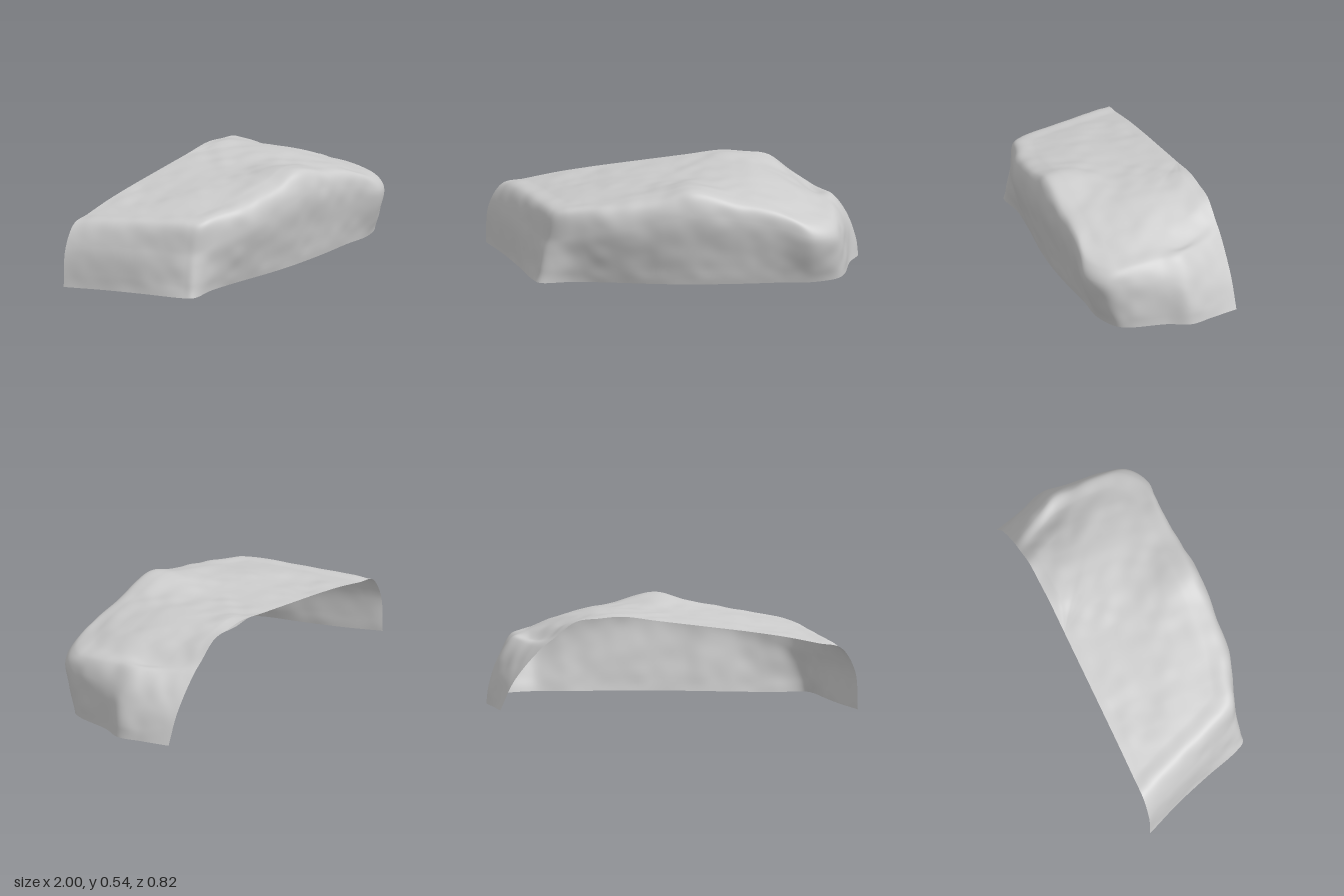
import * as THREE from 'three';

const BACK = -0.41;

// Stations round the boulder, from back -x over the front to back +x:
// base x, z | upper wall x, y, z | rim x, y, z
const STATIONS = [
  [-1, -.41, -.985, .21, -.41, -.91, .335, -.41],
  [-.91, -.2, -.89, .23, -.2, -.82, .36, -.2],
  [-.84, 0, -.805, .23, 0, -.75, .375, 0],
  [-.77, .22, -.72, .22, .2, -.675, .385, .19],
  [-.735, .27, -.685, .22, .25, -.64, .39, .245],
  [-.56, .26, -.55, .27, .305, -.52, .41, .285],
  [-.35, .28, -.35, .31, .37, -.33, .435, .34],
  [-.1, .315, -.1, .36, .392, -.1, .48, .36],
  [.1, .33, .1, .4, .398, .08, .53, .358],
  [.35, .33, .35, .37, .393, .33, .46, .365],
  [.55, .32, .57, .32, .392, .55, .415, .37],
  [.73, .32, .74, .27, .4, .715, .345, .375],
  [.87, .265, .86, .26, .325, .835, .33, .285],
  [.91, .2, .905, .25, .2, .865, .335, .17],
  [.95, 0, .92, .24, 0, .855, .345, 0],
  [1, -.12, .957, .2, -.12, .85, .355, -.12],
  [.97, -.25, .915, .18, -.25, .79, .34, -.25],
  [.93, -.41, .855, .16, -.41, .71, .335, -.41],
];

// Height of the top along x, on three lines from back to front
const TOP_LINES = [
  { z: BACK, line: [[-.91, .335], [-.65, .39], [-.38, .43], [0, .475], [.3, .512], [.53, .48], [.71, .335]] },
  { z: 0, line: [[-.76, .375], [-.38, .45], [0, .49], [.3, .505], [.5, .49], [.6, .465], [.75, .395], [.87, .34]] },
  { z: 0.3, line: [[-.63, .4], [-.33, .455], [-.1, .5], [.07, .55], [.2, .512], [.35, .475], [.5, .445], [.62, .4], [.82, .335]] },
];

function along(line, x) {
  const i = Math.max(1, line.findIndex(([px]) => px >= x));
  const [[x0, y0], [x1, y1]] = x > line.at(-1)[0] ? line.slice(-2) : [line[i - 1], line[i]];
  return THREE.MathUtils.mapLinear(x, x0, x1, y0, y1);
}
function topHeight(x, z) {
  const [a, b] = z < 0 ? TOP_LINES : TOP_LINES.slice(1);
  return THREE.MathUtils.mapLinear(z, a.z, b.z, along(a.line, x), along(b.line, x));
}

// Seeded smooth value noise, about -1..1
function hash(x, y, z) {
  let h = Math.imul(x, 374761393) ^ Math.imul(y, 668265263) ^ Math.imul(z, 1274126177);
  h = Math.imul(h ^ (h >>> 13), 1103515245);
  return ((h ^ (h >>> 16)) >>> 0) / 2147483648 - 1;
}
function noise(x, y, z) {
  const i = Math.floor(x), j = Math.floor(y), k = Math.floor(z);
  const s = (t) => t * t * (3 - 2 * t);
  const a = s(x - i), b = s(y - j), c = s(z - k);
  let sum = 0;
  for (let n = 0; n < 8; n++) {
    const p = n & 1, q = (n >> 1) & 1, r = n >> 2;
    sum += hash(i + p, j + q, k + r) * (p ? a : 1 - a) * (q ? b : 1 - b) * (r ? c : 1 - c);
  }
  return sum;
}

// Rib from the ground up the wall, over the rim and in to the middle of the back edge
function makeRib([bx, bz, mx, my, mz, rx, ry, rz]) {
  const rim = new THREE.Vector3(rx, ry, rz);
  const centre = new THREE.Vector3(0.08, 0, BACK);
  const points = [new THREE.Vector3(bx, 0, bz), new THREE.Vector3(mx, my, mz), rim];
  for (const f of [0.12, 0.3, 0.5, 0.7, 1]) {
    const p = rim.clone().lerp(centre, f);
    p.y = topHeight(p.x, p.z);
    points.push(p);
  }
  return new THREE.CatmullRomCurve3(points);
}

// Open shell: rows of points along the ribs, smoothed from rib to rib
function makeShell(columns, rows) {
  const ribs = STATIONS.map(makeRib);
  const grid = [];
  for (let j = 0; j <= rows; j++) {
    const across = new THREE.CatmullRomCurve3(ribs.map((rib) => rib.getPoint(j / rows)));
    // the last row is the single centre point
    for (let i = 0; i <= columns; i++) {
      grid.push(j === rows ? ribs[0].getPoint(1) : across.getPoint(i / columns));
    }
  }
  const index = [];
  for (let j = 0; j < rows; j++) {
    for (let i = 0; i < columns; i++) {
      const a = j * (columns + 1) + i, b = a + columns + 1;
      index.push(a, a + 1, b);
      if (j < rows - 1) index.push(a + 1, b + 1, b);
    }
  }
  const geometry = new THREE.BufferGeometry().setFromPoints(grid);
  geometry.setIndex(index);
  geometry.computeVertexNormals();
  return geometry;
}

// Weathering: push the surface along its normals, keeping the cut edges flat
function weather(geometry) {
  const pos = geometry.attributes.position, nor = geometry.attributes.normal;
  const p = new THREE.Vector3(), n = new THREE.Vector3();
  for (let i = 0; i < pos.count; i++) {
    p.fromBufferAttribute(pos, i);
    n.fromBufferAttribute(nor, i);
    const keep = Math.min(1, p.y / 0.06, (p.z - BACK) / 0.06);
    const d = 0.006 * noise(p.x * 5, p.y * 5, p.z * 5)
      + 0.004 * noise(p.x * 12 + 7, p.y * 12, p.z * 12);
    p.addScaledVector(n, d * Math.max(0, keep));
    pos.setXYZ(i, p.x, p.y, p.z);
  }
  geometry.computeVertexNormals();
  return geometry;
}

export function createModel() {
  const group = new THREE.Group();
  group.name = 'boulder';
  const material = new THREE.MeshStandardMaterial({ color: 0xcccccc, side: THREE.DoubleSide });
  const shell = new THREE.Mesh(weather(makeShell(220, 120)), material);
  shell.name = 'rockShell';
  group.add(shell);
  return group;
}
